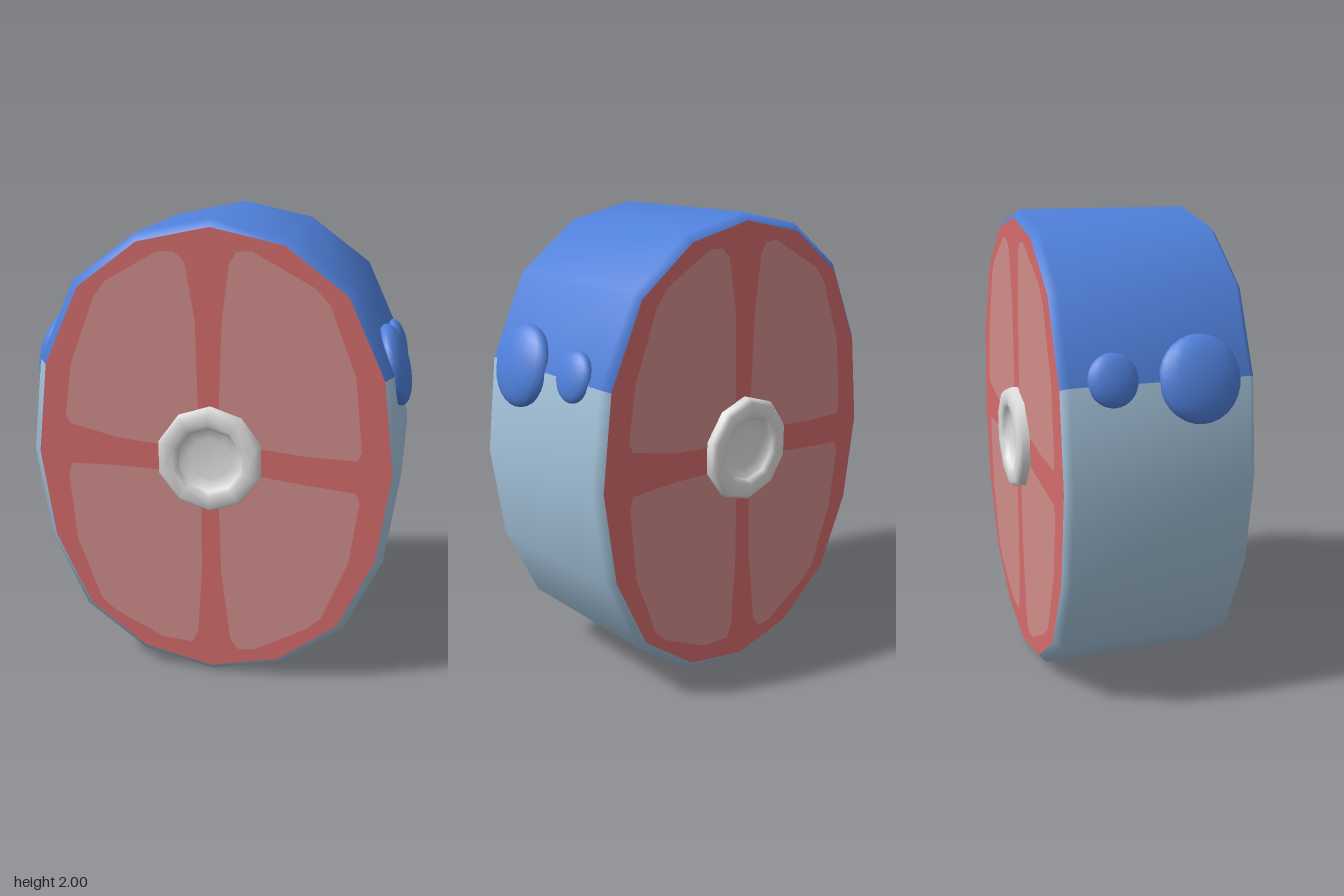
import * as THREE from 'three';

const mat = (name, color, side = THREE.FrontSide) => {
  const m = new THREE.MeshStandardMaterial({ color, side });
  m.name = name;
  return m;
};

export function createModel() {
  const blue = mat('back skin blue', 0x4f80db);
  const pale = mat('belly skin pale blue', 0xa3c1d9);
  const red = mat('flesh red', 0xd46c6c);
  const pink = mat('muscle pink', 0xcf8c8a);
  const bone = mat('bone white', 0xdedede, THREE.DoubleSide);

  const root = new THREE.Group();
  root.name = 'fishSteak';
  const add = (parent, name, geo, material) => {
    const m = new THREE.Mesh(geo, material);
    m.name = name;
    parent.add(m);
    return m;
  };

  // Half outline from top to bottom, mirrored into a closed ring (clockwise)
  const half = [[0, 2], [0.31, 1.935], [0.575, 1.74], [0.735, 1.4], [0.785, 1],
    [0.73, 0.6], [0.575, 0.27], [0.31, 0.07], [0, 0.003]];
  const ring = [...half, ...half.slice(1, -1).reverse().map(([x, y]) => [-x, y])];
  const n = ring.length;
  const inset = ([x, y]) => [x * 0.957, 1 + (y - 1) * 0.968];

  // Skin: smooth band with bevelled rims, blue above and pale below
  const levels = [[-0.39, true], [-0.36, false], [0.36, false], [0.39, true]];
  const pos = [], upper = [], lower = [];
  for (const [z, rim] of levels) {
    for (const p of ring) pos.push(...(rim ? inset(p) : p), z);
  }
  for (let l = 0; l < 3; l++) {
    for (let i = 0; i < n; i++) {
      const a = l * n + i, b = l * n + (i + 1) % n, c = b + n, d = a + n;
      const isTop = i < 3 || i >= n - 3;
      (isTop ? upper : lower).push(a, d, c, a, c, b);
    }
  }
  const skin = new THREE.BufferGeometry();
  skin.setAttribute('position', new THREE.Float32BufferAttribute(pos, 3));
  skin.setIndex([...upper, ...lower]);
  skin.addGroup(0, upper.length, 0);
  skin.addGroup(upper.length, lower.length, 1);
  skin.computeVertexNormals();
  add(root, 'skin', skin, [blue, pale]);

  // Four muscle panels on each cut face
  const panels = [
    [[-0.05, 1.2], [-0.06, 1.6], [-0.1, 1.83], [-0.14, 1.87], [-0.21, 1.87], [-0.43, 1.745],
      [-0.48, 1.68], [-0.59, 1.4], [-0.625, 1.18], [-0.61, 1.135], [-0.4, 1.085], [-0.15, 1.06]],
    [[0.035, 1.2], [0.05, 1.6], [0.08, 1.83], [0.11, 1.875], [0.17, 1.88], [0.42, 1.745],
      [0.48, 1.68], [0.59, 1.4], [0.625, 1.09], [0.61, 1.05], [0.4, 1.055], [0.15, 1.08]],
    [[-0.04, 0.85], [-0.04, 0.5], [-0.06, 0.2], [-0.085, 0.145], [-0.22, 0.155], [-0.44, 0.265],
      [-0.5, 0.32], [-0.6, 0.6], [-0.625, 0.9], [-0.61, 0.955], [-0.4, 0.96], [-0.15, 0.95]],
    [[0.035, 0.85], [0.045, 0.5], [0.085, 0.18], [0.12, 0.13], [0.19, 0.135], [0.42, 0.265],
      [0.48, 0.32], [0.59, 0.6], [0.625, 0.87], [0.61, 0.91], [0.4, 0.93], [0.15, 0.96]],
  ];
  const flat = (pts) => new THREE.ShapeGeometry(
    new THREE.Shape(pts.map(([x, y]) => new THREE.Vector2(x, y))));

  // Bone end: rounded rim around a shallow bowl
  const boneProfile = [[0.225, 0.36], [0.225, 0.42], [0.207, 0.44], [0.158, 0.44], [0.138, 0.425],
    [0.133, 0.405], [0.09, 0.398], [0.04, 0.394], [0, 0.393]].map(([r, z]) => new THREE.Vector2(r, z));

  // Both cut faces are the same, turned half around
  for (const [name, turn] of [['frontCut', 0], ['backCut', Math.PI]]) {
    const cut = new THREE.Group();
    cut.name = name;
    cut.rotation.y = turn;
    add(cut, 'flesh', flat(ring.map(inset)), red).position.z = 0.39;
    panels.forEach((p) => { add(cut, 'musclePanel', flat(p), pink).position.z = 0.392; });
    const end = add(cut, 'boneEnd', new THREE.LatheGeometry(boneProfile, 10), bone);
    end.rotation.x = Math.PI / 2;
    end.rotation.y = Math.PI;
    end.position.y = 1.02;
    root.add(cut);
  }

  // Skin spots: flattened domes leaning with the flanks
  for (const side of [1, -1]) {
    for (const [name, x, y, z, r, thick] of [
      ['largeSpot', 0.727, 1.4, 0.157, 0.167, 0.064],
      ['smallSpot', 0.725, 1.417, -0.19, 0.1, 0.04],
    ]) {
      const spot = add(root, name, new THREE.SphereGeometry(1, 20, 14), blue);
      spot.scale.set(thick, r * 1.03, r);
      spot.position.set(side * x, y, z);
      spot.rotation.z = side * 0.27;
    }
  }
  return root;
}
